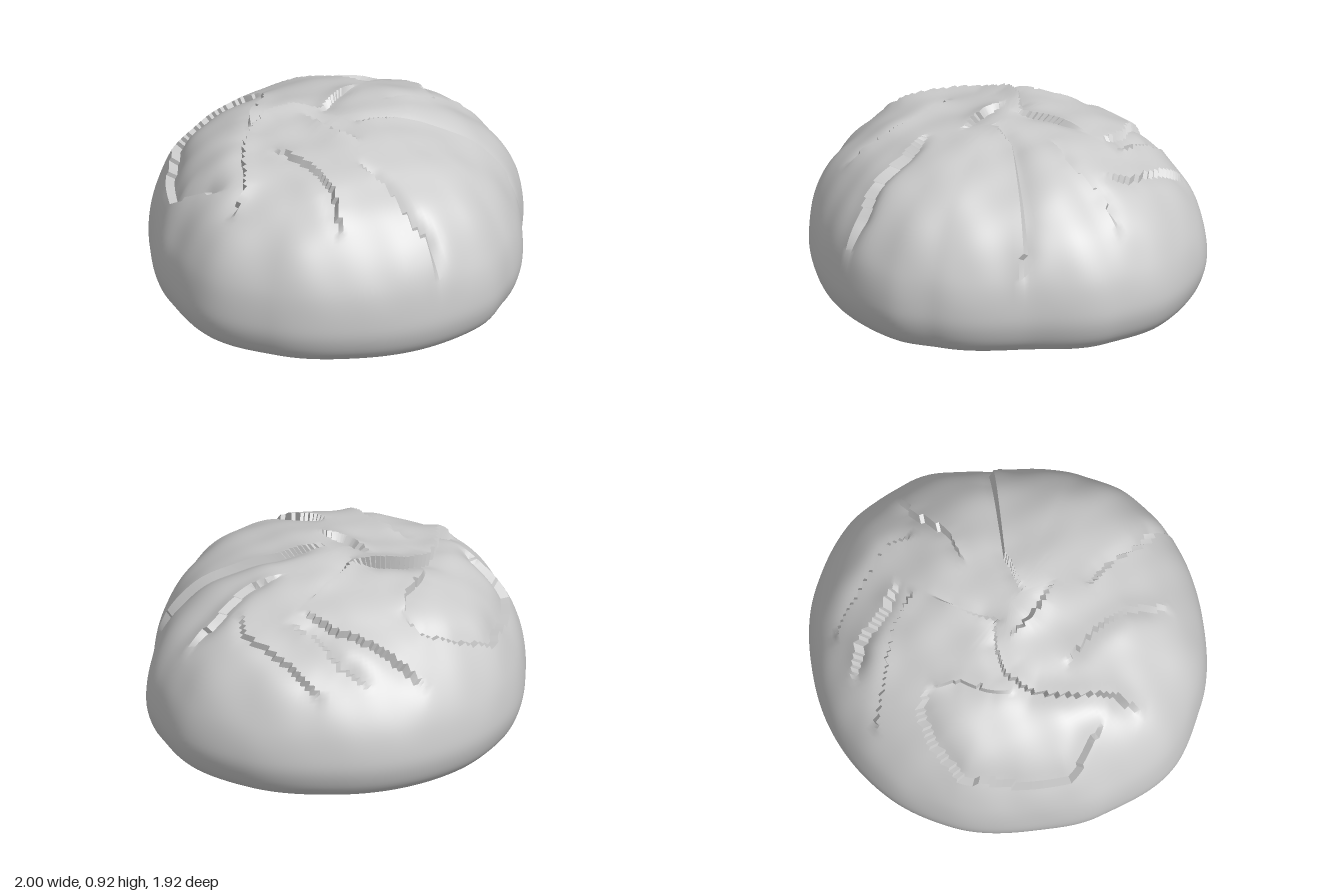
import * as THREE from 'three';
import { toCreasedNormals } from 'three/addons/utils/BufferGeometryUtils.js';

const curve = (pts) => new THREE.SplineCurve(pts.map(([x, y]) => new THREE.Vector2(x, y)));

// Loaf profiles (radius, height): gentle shoulder and fuller shoulder
const base = [[1, 0.23], [0.98, 0.12], [0.93, 0.045], [0.85, 0.017], [0.5, 0.008], [0, 0.005]];
const gentle = curve([[0, 0.895], [0.2, 0.88], [0.4, 0.845], [0.58, 0.78], [0.73, 0.69], [0.87, 0.55], [0.965, 0.39], ...base]);
const full = curve([[0, 0.895], [0.2, 0.885], [0.4, 0.86], [0.6, 0.8], [0.76, 0.71], [0.89, 0.58], [0.975, 0.41], ...base]);

// Outline radius at angles in degrees, from +x towards +z
const outline = [[0, 1], [20, 0.965], [47, 0.88], [75, 0.92], [90, 0.955], [107, 0.95], [133, 0.945],
  [160, 0.97], [180, 1], [205, 0.955], [225, 0.93], [250, 0.95], [270, 0.96], [312, 0.965], [340, 0.99], [360, 1]];
function outlineRadius(deg) {
  let i = 0;
  while (i < outline.length - 2 && deg > outline[i + 1][0]) i++;
  const [a, ra] = outline[i], [b, rb] = outline[i + 1];
  return THREE.MathUtils.lerp(ra, rb, THREE.MathUtils.smoothstep(deg, a, b));
}

// Crust cracks: path in (x, z), offset on its right, offset on its left, falloff
const cracks = [
  // sunken flap at the back and the ridge in front of it
  { path: [[-0.7, -0.15], [-0.73, -0.45], [-0.55, -0.63], [-0.3, -0.78], [-0.1, -0.75], [0.04, -0.68], [0.07, -0.55]], right: -0.03, left: 0.012, w: 0.06 },
  { path: [[-0.82, 0], [-0.65, -0.05], [-0.5, -0.19], [-0.36, -0.29], [-0.2, -0.3], [-0.08, -0.22], [0, -0.12]], right: 0.035, left: -0.035, w: 0.06 },
  { path: [[-0.3, -0.32], [-0.2, -0.4], [-0.05, -0.45], [0.07, -0.56]], right: 0.025, left: -0.02, w: 0.06 },
  // long front split
  { path: [[-0.24, 0.3], [-0.25, 0.5], [-0.29, 0.68], [-0.27, 0.8], [-0.31, 0.92]], right: 0.012, left: -0.04, w: 0.045 },
  { path: [[-0.4, -0.1], [-0.41, 0.15], [-0.45, 0.33], [-0.6, 0.52]], right: -0.03, left: 0.015, w: 0.05 },
  { path: [[-0.1, -0.15], [-0.13, 0], [-0.1, 0.22]], right: 0.02, left: -0.02, w: 0.05 },
  // folds on the left flank
  { path: [[0.18, -0.85], [0.28, -0.65], [0.4, -0.42], [0.43, -0.2]], right: 0.015, left: -0.025, w: 0.05 },
  { path: [[0.42, -0.72], [0.5, -0.55], [0.49, -0.38], [0.53, -0.2]], right: -0.03, left: 0.015, w: 0.05 },
  { path: [[0.63, -0.6], [0.67, -0.35], [0.69, -0.1], [0.6, 0.05]], right: 0.01, left: -0.022, w: 0.045 },
  { path: [[-0.02, 0.08], [0.2, 0.2], [0.36, 0.36], [0.5, 0.5], [0.6, 0.68]], right: 0.012, left: -0.03, w: 0.06 },
  { path: [[0.3, 0.03], [0.48, 0.12], [0.68, 0.12], [0.84, 0.19]], right: 0.015, left: -0.025, w: 0.05 },
  { path: [[-0.05, -0.1], [0.12, -0.16], [0.35, -0.2]], right: -0.02, left: 0.015, w: 0.05 },
];

function crackOffset({ path, right, left, w }, x, z) {
  let best = Infinity, side = 1, along = 0, length = 0;
  for (let i = 0; i < path.length - 1; i++) {
    const [ax, az] = path[i], dx = path[i + 1][0] - ax, dz = path[i + 1][1] - az;
    const seg = Math.hypot(dx, dz);
    const t = THREE.MathUtils.clamp(((x - ax) * dx + (z - az) * dz) / (seg * seg), 0, 1);
    const d = Math.hypot(x - ax - t * dx, z - az - t * dz);
    if (d < best) {
      best = d;
      side = dx * (z - az) - dz * (x - ax);
      along = length + t * seg;
    }
    length += seg;
  }
  const taper = Math.min(1, along / 0.12, (length - along) / 0.12);
  return taper * (side > 0 ? right : left) * Math.exp(-((best / w) ** 1.5));
}

// Soft lumps in the crust, strongest near the crown
function lumps(x, z) {
  const crown = Math.exp(-((x + 0.15) ** 2 + (z + 0.2) ** 2) / 0.02) * 0.012;
  return crown + 0.007 * Math.sin(9 * x + 4 * z + 1) * Math.sin(8 * z - 5 * x)
    + 0.004 * Math.sin(19 * x - 7 * z) * Math.sin(17 * z + 6 * x);
}

function loafGeometry(rings = 110, sides = 200) {
  const a = gentle.getSpacedPoints(rings), b = full.getSpacedPoints(rings);
  const positions = [], index = [];
  for (let i = 0; i <= rings; i++) {
    for (let j = 0; j < sides; j++) {
      const angle = (j / sides) * Math.PI * 2;
      // the front and right shoulders are fuller
      const p = a[i].clone().lerp(b[i], 0.5 + 0.5 * Math.cos(angle - Math.PI * 0.75));
      const r = Math.max(p.x, 0) * outlineRadius((j / sides) * 360);
      const v = new THREE.Vector3(r * Math.cos(angle), p.y, r * Math.sin(angle));
      const upper = THREE.MathUtils.smoothstep(v.y, 0.27, 0.5);
      if (upper > 0) {
        let offset = lumps(v.x, v.z);
        for (const crack of cracks) offset += crackOffset(crack, v.x, v.z);
        const normal = new THREE.Vector3(v.x, 0.35 + v.y * 0.6, v.z).normalize();
        v.addScaledVector(normal, offset * upper);
      }
      positions.push(v.x, v.y, v.z);
      if (i < rings) {
        const k = (j + 1) % sides, p0 = i * sides + j, p1 = i * sides + k;
        if (i > 0) index.push(p0, p1, p1 + sides);
        if (i < rings - 1) index.push(p0, p1 + sides, p0 + sides);
        else if (i === 0) index.push(p0, p1 + sides, p0 + sides);
      }
    }
  }
  const geometry = new THREE.BufferGeometry();
  geometry.setAttribute('position', new THREE.Float32BufferAttribute(positions, 3));
  geometry.setIndex(index);
  return toCreasedNormals(geometry, 0.6);
}

export function createModel() {
  const group = new THREE.Group();
  group.name = 'breadLoaf';
  const loaf = new THREE.Mesh(loafGeometry(), new THREE.MeshStandardMaterial({ color: 0xcccccc }));
  loaf.name = 'crackedLoaf';
  group.add(loaf);
  return group;
}
